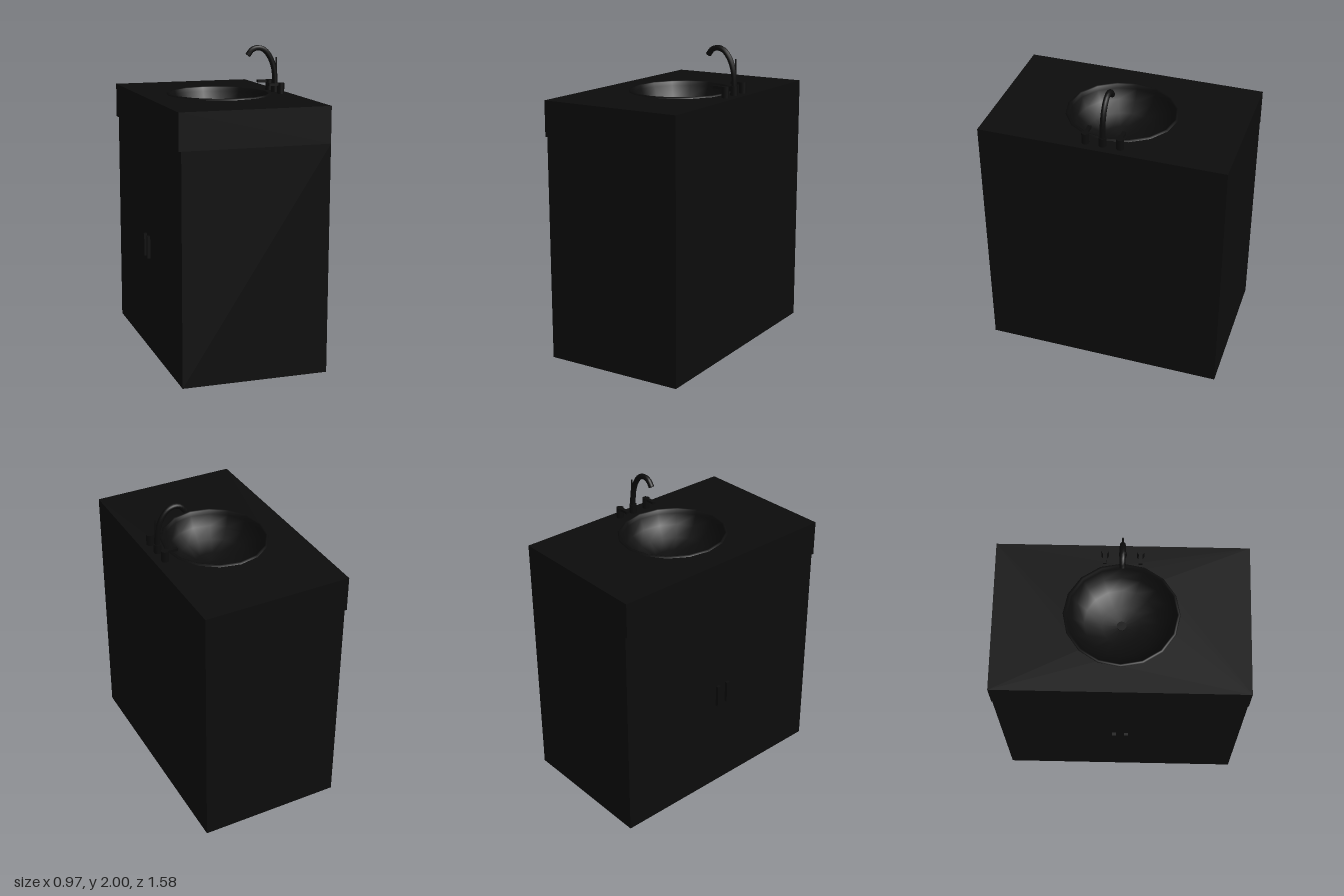
import * as THREE from 'three';

const SIDES = 16;
const BASIN = { x: 0.02, rx: 0.34, rz: 0.36 };
const TOP = 1.69;

export function createModel() {
  const group = new THREE.Group();
  const dark = new THREE.MeshStandardMaterial({ color: 0x0c0c0c });
  const darkDouble = new THREE.MeshStandardMaterial({ color: 0x0c0c0c, side: THREE.DoubleSide });

  const add = (name, geometry, x = 0, y = 0, z = 0, material = dark) => {
    const mesh = new THREE.Mesh(geometry, material);
    mesh.name = name;
    mesh.position.set(x, y, z);
    group.add(mesh);
    return mesh;
  };
  const box = (name, x0, x1, y0, y1, z0, z1) => add(name,
    new THREE.BoxGeometry(x1 - x0, y1 - y0, z1 - z0), (x0 + x1) / 2, (y0 + y1) / 2, (z0 + z1) / 2);

  // Cabinet body, doors on the -x side
  box('cabinet', -0.465, 0.48, 0, 1.46, -0.79, 0.79);

  // Countertop with apron and an oval cut-out
  const outline = new THREE.Shape([[-0.48, -0.79], [0.48, -0.79], [0.48, 0.79], [-0.48, 0.79]]
    .map(([x, y]) => new THREE.Vector2(x, y)));
  const cut = [];
  for (let i = 0; i < SIDES; i++) {
    const a = (-i / SIDES) * Math.PI * 2;
    cut.push(new THREE.Vector2(BASIN.x + Math.cos(a) * BASIN.rx * 0.97, Math.sin(a) * BASIN.rz * 0.97));
  }
  outline.holes.push(new THREE.Path(cut));
  const slab = new THREE.ExtrudeGeometry(outline, { depth: TOP - 1.46, bevelEnabled: false });
  slab.rotateX(-Math.PI / 2);
  add('countertop', slab, 0, 1.46, 0);

  // Oval basin with a low rolled rim
  const profile = [[0, -0.2], [0.35, -0.19], [0.65, -0.15], [0.84, -0.09], [0.93, -0.02],
    [0.95, 0.006], [0.98, 0.01], [1, 0]].map(([r, y]) => new THREE.Vector2(r, y));
  const basin = add('basin', new THREE.LatheGeometry(profile, SIDES), BASIN.x, TOP, 0, darkDouble);
  basin.scale.set(BASIN.rx, 1, BASIN.rz);
  add('drain', new THREE.CylinderGeometry(0.03, 0.03, 0.01, 16), BASIN.x, TOP - 0.197, 0);

  // Gooseneck spout
  const path = new THREE.CatmullRomCurve3([[0.413, 1.68], [0.414, 1.76], [0.405, 1.85], [0.375, 1.925],
    [0.335, 1.97], [0.29, 1.983], [0.25, 1.97], [0.225, 1.938]]
    .map(([x, y]) => new THREE.Vector3(x, y, 0)));
  add('spout', new THREE.TubeGeometry(path, 24, 0.018, 10), 0, 0, 0, darkDouble);
  const tip = add('spoutTip', new THREE.CylinderGeometry(0.018, 0.018, 0.006, 10), 0.225, 1.938, 0);
  tip.rotation.z = -0.66;
  add('spoutBase', new THREE.CylinderGeometry(0.024, 0.024, 0.06, 12), 0.413, 1.72, 0);

  // Drain pull rod
  add('pullRod', new THREE.CylinderGeometry(0.005, 0.005, 0.23, 8), 0.422, 1.805, 0);

  for (const side of [-1, 1]) {
    // Tap handle: round post with a flat lever reaching over the basin
    add('tapPost', new THREE.CylinderGeometry(0.024, 0.024, 0.07, 12), 0.413, 1.725, side * 0.11);
    box('tapLever', 0.33, 0.413, 1.743, 1.76, side * 0.11 - 0.012, side * 0.11 + 0.012);
    // Door pull
    box('doorPull', -0.485, -0.463, 0.63, 0.78, side * 0.04 - 0.013, side * 0.04 + 0.013);
  }

  return group;
}
